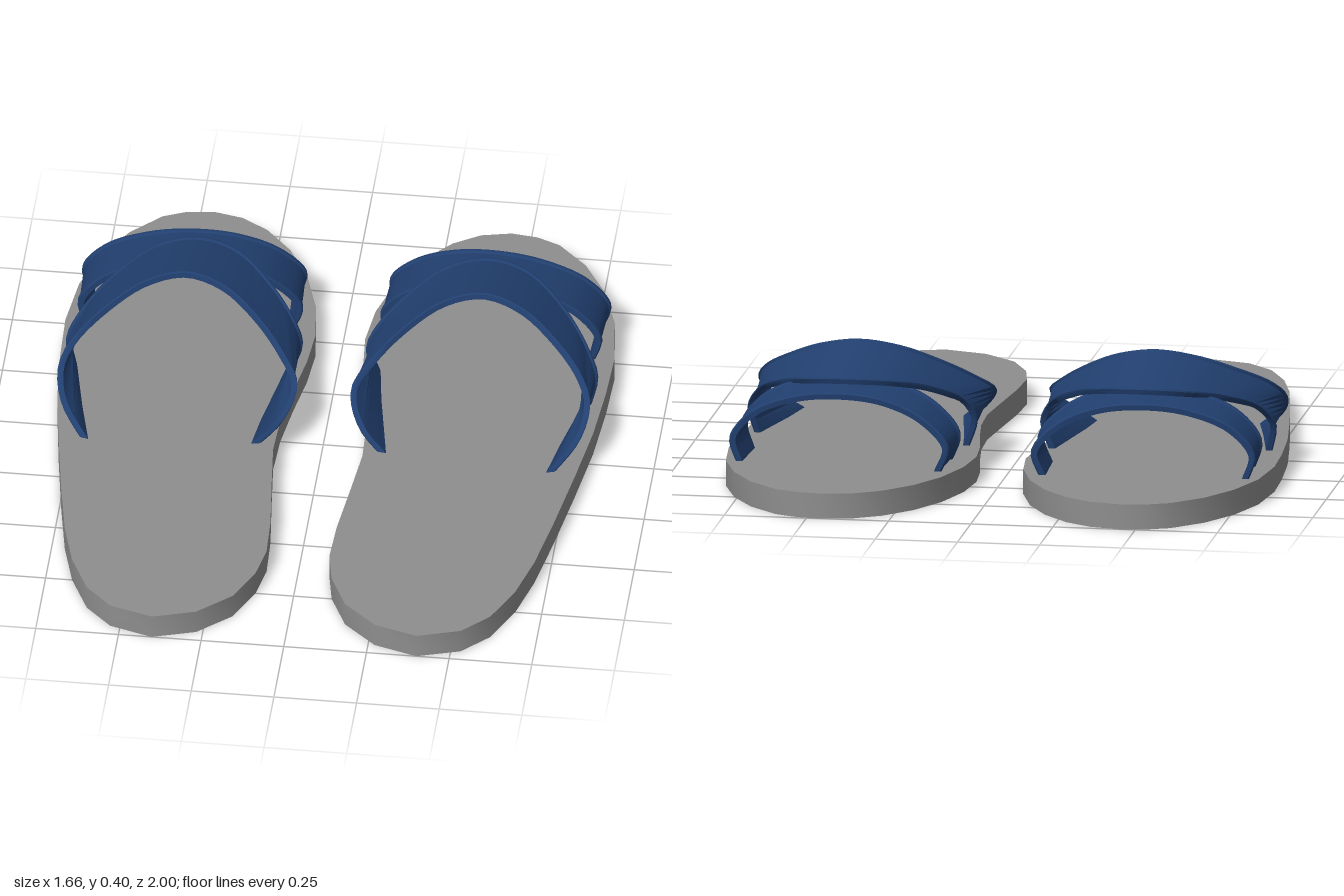
import * as THREE from 'three';
import { toCreasedNormals } from 'three/addons/utils/BufferGeometryUtils.js';

const soleGrey = new THREE.MeshStandardMaterial({ color: 0x8e8e8e });
soleGrey.name = 'sole grey';
const strapBlue = new THREE.MeshStandardMaterial({ color: 0x213f6f });
strapBlue.name = 'strap blue';

const SOLE_HEIGHT = 0.077;

// Sole outline as x, z pairs, from the toe round the outer side to the heel and back
const outline = [
  [0.45, -1], [0.53, -0.99], [0.6, -0.96], [0.69, -0.87], [0.76, -0.75], [0.81, -0.6], [0.83, -0.42],
  [0.825, -0.25], [0.81, -0.05], [0.78, 0.17], [0.745, 0.4], [0.71, 0.6], [0.67, 0.75], [0.61, 0.88],
  [0.53, 0.96], [0.4, 1], [0.27, 0.96], [0.17, 0.87], [0.115, 0.75], [0.095, 0.64], [0.1, 0.5],
  [0.12, 0.3], [0.135, 0.14], [0.13, 0], [0.11, -0.15], [0.085, -0.3], [0.075, -0.43], [0.09, -0.57],
  [0.135, -0.72], [0.2, -0.84], [0.28, -0.93], [0.36, -0.98],
];

// Strap edges, running from the inner foot over the top to the outer foot
const crossFront = [
  [0.125, 0.06, -0.28], [0.095, 0.16, -0.29], [0.125, 0.225, -0.32], [0.21, 0.285, -0.415],
  [0.32, 0.322, -0.515], [0.44, 0.332, -0.55], [0.56, 0.322, -0.515], [0.68, 0.285, -0.4],
  [0.77, 0.225, -0.28], [0.805, 0.16, -0.23], [0.785, 0.06, -0.2],
];
const crossRear = [
  [0.195, 0.06, 0.125], [0.115, 0.13, 0.075], [0.08, 0.2, -0.02], [0.13, 0.255, -0.1],
  [0.22, 0.32, -0.19], [0.33, 0.375, -0.26], [0.45, 0.397, -0.285], [0.57, 0.375, -0.255],
  [0.67, 0.33, -0.19], [0.77, 0.265, -0.09], [0.805, 0.21, -0.02], [0.785, 0.14, 0.07],
  [0.7, 0.06, 0.17],
];
const toeFront = [
  [0.155, 0.06, -0.645], [0.125, 0.15, -0.648], [0.2, 0.235, -0.642], [0.32, 0.287, -0.633],
  [0.46, 0.302, -0.625], [0.6, 0.287, -0.615], [0.73, 0.235, -0.606], [0.8, 0.15, -0.6],
  [0.775, 0.06, -0.6],
];
const toeRear = toeFront.map(([x, y, z]) => [x - 0.008, 0.06 + (y - 0.06) * 1.08, z + 0.187]);

function edgeCurve(points, side) {
  const list = points.map(([x, y, z]) => new THREE.Vector3(x * side, y, z));
  if (side < 0) list.reverse();
  return new THREE.CatmullRomCurve3(list);
}

// Sweep a flat band with a slightly raised rim between two edge curves
function strap(name, frontPoints, rearPoints, side) {
  const front = edgeCurve(frontPoints, side);
  const rear = edgeCurve(rearPoints, side);
  const steps = 48;
  const positions = [];
  const index = [];
  let count = 0;
  for (let i = 0; i <= steps; i++) {
    const t = i / steps;
    const a = front.getPointAt(t);
    const across = rear.getPointAt(t).sub(a);
    const w = across.length();
    across.normalize();
    const along = front.getTangentAt(t).add(rear.getTangentAt(t));
    const out = across.clone().cross(along).normalize();
    const section = [
      [0, -0.004], [0.004, 0], [0.014, 0], [0.02, -0.005], [w - 0.02, -0.005], [w - 0.014, 0],
      [w - 0.004, 0], [w, -0.004], [w, -0.02], [0, -0.02],
    ];
    count = section.length;
    for (const [u, h] of section) {
      const p = a.clone().addScaledVector(across, u).addScaledVector(out, h);
      positions.push(p.x, p.y, p.z);
    }
  }
  for (let i = 0; i < steps; i++) {
    for (let j = 0; j < count; j++) {
      const k = (j + 1) % count;
      const a = i * count + j, b = a + count;
      const c = i * count + k, d = c + count;
      index.push(a, c, b, b, c, d);
    }
  }
  const geometry = new THREE.BufferGeometry();
  geometry.setAttribute('position', new THREE.Float32BufferAttribute(positions, 3));
  geometry.setIndex(index);
  const mesh = new THREE.Mesh(toCreasedNormals(geometry, 0.6), strapBlue);
  mesh.name = name;
  return mesh;
}

function sole(side) {
  const shape = new THREE.Shape(outline.map(([x, z]) => new THREE.Vector2(x * side, -z)));
  const geometry = new THREE.ExtrudeGeometry(shape, { depth: SOLE_HEIGHT, bevelEnabled: false });
  geometry.rotateX(-Math.PI / 2);
  const mesh = new THREE.Mesh(toCreasedNormals(geometry, 0.6), soleGrey);
  mesh.name = 'sole';
  return mesh;
}

export function createModel() {
  const model = new THREE.Group();
  model.name = 'sandals';
  for (const side of [1, -1]) {
    const sandal = new THREE.Group();
    sandal.name = side > 0 ? 'leftSandal' : 'rightSandal';
    sandal.add(
      sole(side),
      strap('toeStrap', toeFront, toeRear, side),
      strap('crossStrap', crossFront, crossRear, side),
    );
    model.add(sandal);
  }
  return model;
}
